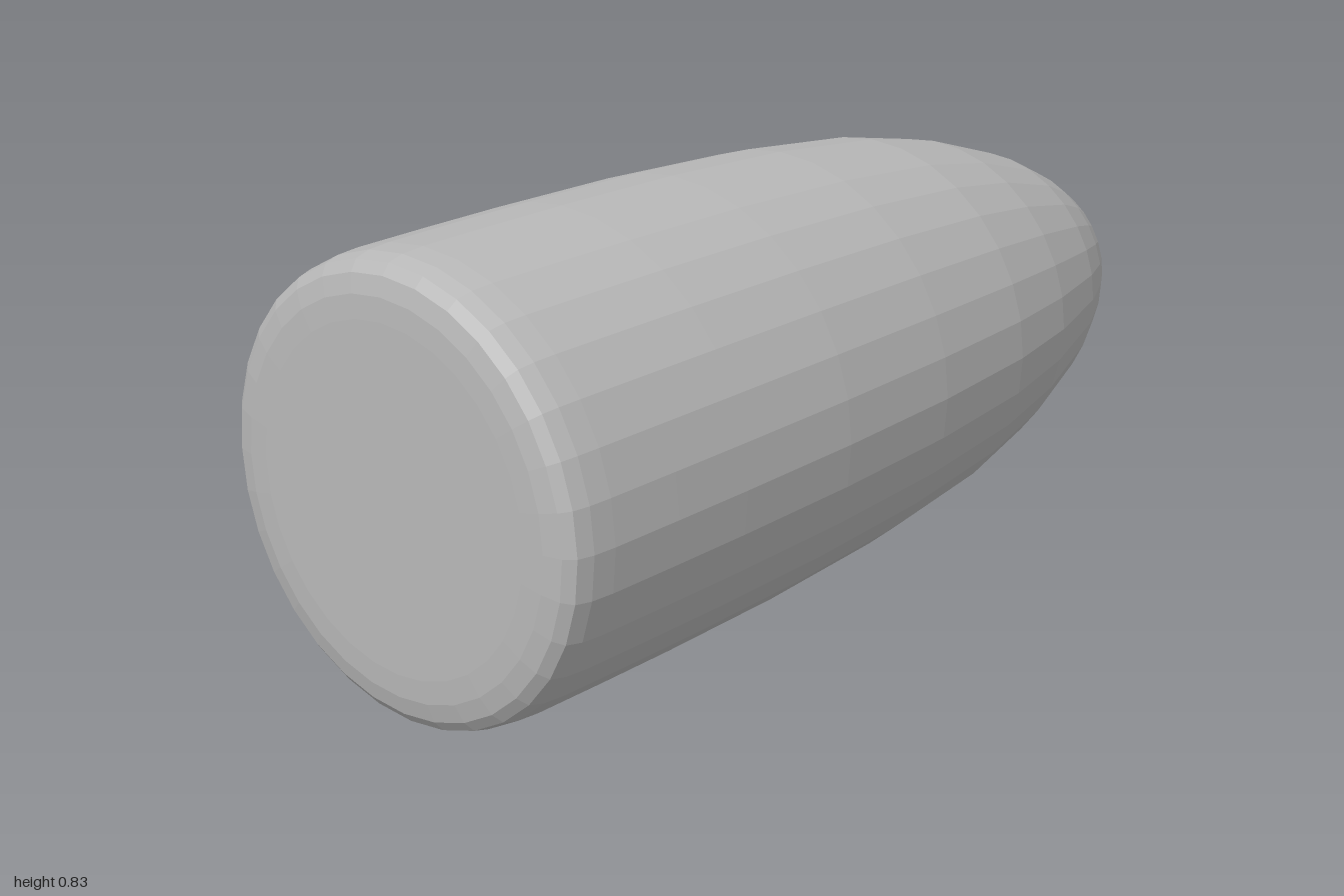
import * as THREE from 'three';

export function createModel() {
  const group = new THREE.Group();
  const gray = new THREE.MeshStandardMaterial({ color: 0xb8b8b8, flatShading: true });
  gray.name = 'plain gray';

  // Profile as [radius, z], from the flat base to the rounded tip
  const profile = [
    [0, 1], [0.31, 1], [0.352, 0.998], [0.386, 0.99], [0.405, 0.975], [0.413, 0.945], [0.416, 0.9],
    [0.417, 0.75], [0.417, 0.58], [0.413, 0.3], [0.399, 0], [0.37, -0.28], [0.329, -0.48],
    [0.265, -0.68], [0.215, -0.785], [0.175, -0.85], [0.128, -0.91], [0.09, -0.95],
    [0.055, -0.98], [0.025, -0.995], [0, -1],
  ].map(([r, z]) => new THREE.Vector2(r, -z));

  // 32-sided body of revolution laid along z, tip to the back
  const geometry = new THREE.LatheGeometry(profile, 32);
  geometry.rotateX(-Math.PI / 2);
  geometry.translate(0, 0.417, 0);

  const body = new THREE.Mesh(geometry, gray);
  body.name = 'roundedBody';
  group.add(body);
  return group;
}
